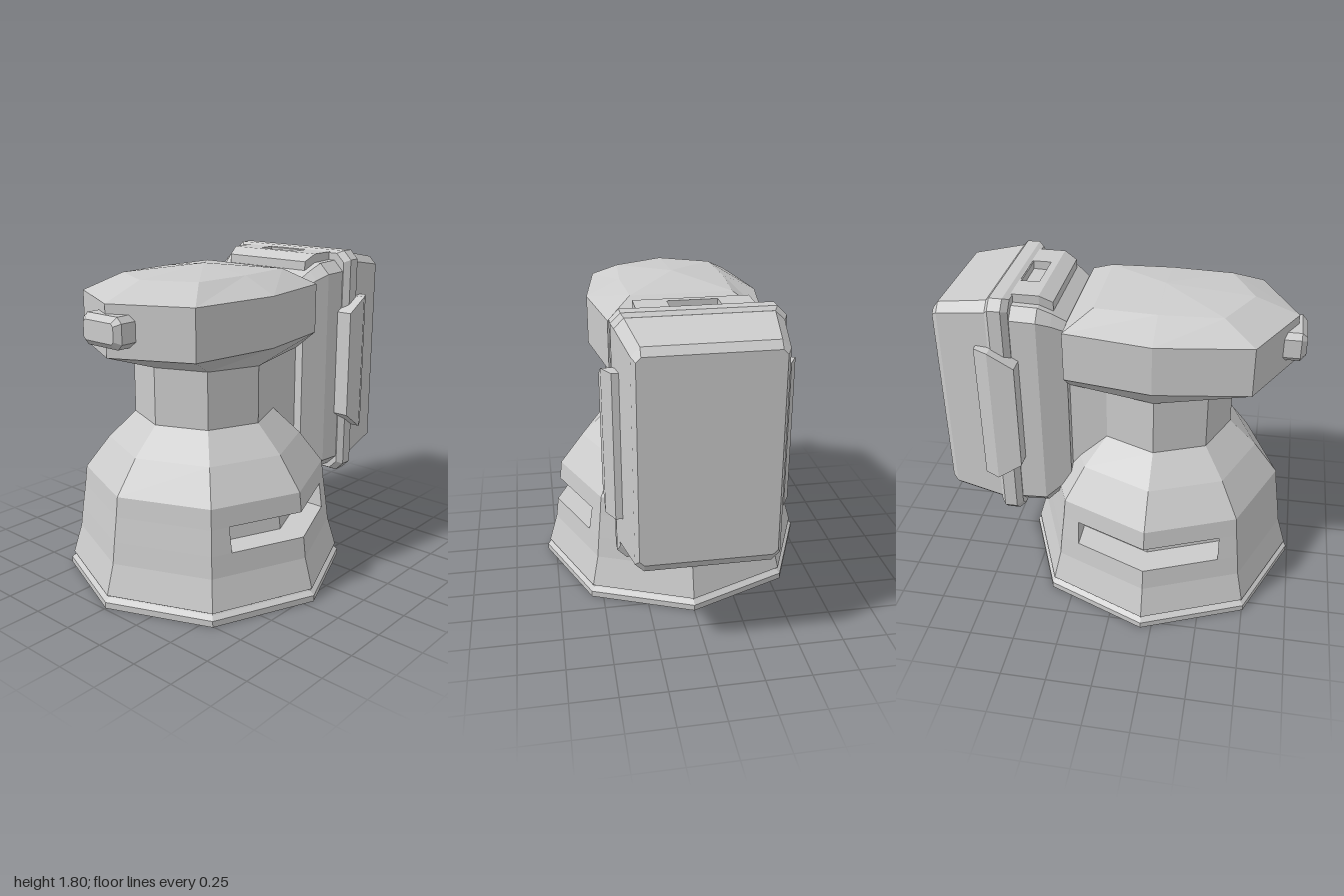
import * as THREE from 'three';

const material = new THREE.MeshStandardMaterial({ color: 0xcccccc, flatShading: true });
const CZ = 0.19; // centre of the octagonal body

// Skin between matching loops of [x, y, z], with fan caps on both ends.
function loft(loops, caps = true) {
  const pos = [];
  const n = loops[0].length;
  const tri = (a, b, c) => pos.push(...a, ...b, ...c);
  for (let k = 0; k + 1 < loops.length; k++) {
    const a = loops[k], b = loops[k + 1];
    for (let i = 0; i < n; i++) {
      const j = (i + 1) % n;
      tri(a[i], a[j], b[j]);
      tri(a[i], b[j], b[i]);
    }
  }
  if (caps) {
    const a = loops[0], b = loops[loops.length - 1];
    for (let i = 1; i + 1 < n; i++) {
      tri(a[0], a[i + 1], a[i]);
      tri(b[0], b[i], b[i + 1]);
    }
  }
  const g = new THREE.BufferGeometry();
  g.setAttribute('position', new THREE.Float32BufferAttribute(pos, 3));
  g.computeVertexNormals();
  return g;
}

// Horizontal loop from the left half outline, listed front to back as [x, z].
function ring(half, y) {
  const other = half.filter(p => p[0] > 0).reverse().map(([x, z]) => [-x, z]);
  return [...half, ...other].map(([x, z]) => [x, y, z]);
}

function octagon(r, y) {
  const d = r * Math.SQRT1_2;
  return ring([[0, CZ + r], [d, CZ + d], [r, CZ], [d, CZ - d], [0, CZ - r]], y);
}

// Octagon with a notch wrapped around each side corner.
function notched(r, y) {
  const d = r * Math.SQRT1_2, e = 0.4, depth = 0.16;
  const out = r - e * Math.tan(Math.PI / 8), inn = out - depth;
  return ring([[0, CZ + r], [d, CZ + d], [out, CZ + e], [inn, CZ + e], [r - depth, CZ],
    [inn, CZ - e], [out, CZ - e], [d, CZ - d], [0, CZ - r]], y);
}

// Upright rectangle with cut corners at depth z.
function panel(z, x0, x1, y0, y1, c) {
  return [[x1, y0 + c], [x1, y1 - c], [x1 - c, y1], [x0 + c, y1],
    [x0, y1 - c], [x0, y0 + c], [x0 + c, y0], [x1 - c, y0]].map(([x, y]) => [x, y, z]);
}

export function createModel() {
  const model = new THREE.Group();
  const add = (name, geometry, parent = model) => {
    const mesh = new THREE.Mesh(geometry, material);
    mesh.name = name;
    parent.add(mesh);
    return mesh;
  };
  const octagons = rows => loft(rows.map(([r, y]) => octagon(r, y)));

  // Base plate and bell-shaped body
  add('basePlate', octagons([[0.8, 0], [0.8, 0.035], [0.775, 0.055], [0.76, 0.075]]));
  add('lowerBody', octagons([[0.76, 0.055], [0.785, 0.07], [0.735, 0.24], [0.72, 0.36]]));
  add('slottedBody', loft([notched(0.72, 0.36), notched(0.7, 0.5)], false));
  add('upperBody', octagons([[0.7, 0.5], [0.687, 0.61], [0.55, 0.79], [0.395, 0.94], [0.395, 1.27]]));

  // Bridge from the neck to the pack
  const bridge = add('neckBridge', new THREE.BoxGeometry(0.56, 0.7, 0.24));
  bridge.position.set(0, 0.95, -0.2);

  // Faceted head with a shallow domed roof
  add('head', loft([
    ring([[0, 0.585], [0.28, 0.47], [0.395, CZ], [0.28, -0.29]], 1.26),
    ring([[0, 0.91], [0.415, 0.7], [0.49, CZ], [0.415, -0.29]], 1.37),
    ring([[0, 0.91], [0.415, 0.7], [0.49, CZ], [0.415, -0.29]], 1.645),
    ring([[0, 0.67], [0.28, 0.53], [0.3, CZ], [0.28, -0.15]], 1.735),
    ring([[0, CZ + 0.004], [0.003, CZ + 0.003], [0.004, CZ], [0.003, CZ - 0.003]], 1.775),
  ]));
  add('frontLamp', loft([
    panel(0.8, -0.14, 0.14, 1.43, 1.595, 0.03),
    panel(0.93, -0.14, 0.14, 1.43, 1.595, 0.03),
    panel(0.96, -0.11, 0.11, 1.46, 1.565, 0.015),
  ]));

  // Pack on the back: rear shell, raised rim and front shell, built back to front
  const pack = new THREE.Group();
  pack.name = 'backPack';
  model.add(pack);
  const shell = rows => loft(rows.map(([z, w, y0, y1, c]) => panel(z, -w, w, y0, y1, c)));
  add('rearShell', shell([
    [-1, 0.355, 0.59, 1.69, 0.025],
    [-0.97, 0.375, 0.54, 1.73, 0.045],
    [-0.66, 0.425, 0.495, 1.785, 0.05],
  ]), pack);
  add('rim', shell([
    [-0.69, 0.42, 0.475, 1.78, 0.05],
    [-0.67, 0.435, 0.44, 1.8, 0.05],
    [-0.6, 0.435, 0.44, 1.8, 0.05],
    [-0.57, 0.405, 0.455, 1.785, 0.05],
  ]), pack);
  add('frontShell', shell([
    [-0.6, 0.4, 0.48, 1.745, 0.06],
    [-0.43, 0.4, 0.49, 1.74, 0.06],
    [-0.36, 0.365, 0.555, 1.7, 0.05],
    [-0.29, 0.33, 0.62, 1.65, 0.04],
  ]), pack);

  // Raised top block with a rectangular recess and a sloped nose
  const rect = (Path, w, z0, z1) => new Path(
    [[-w, -z1], [w, -z1], [w, -z0], [-w, -z0]].map(p => new THREE.Vector2(...p)));
  const top = rect(THREE.Shape, 0.3, -0.6, -0.43);
  top.holes.push(rect(THREE.Path, 0.13, -0.575, -0.47));
  const block = new THREE.ExtrudeGeometry(top, { depth: 0.09, bevelEnabled: false });
  add('topBlock', block.rotateX(-Math.PI / 2).translate(0, 1.7, 0), pack);
  add('topBlockNose', loft([
    panel(-0.43, -0.3, 0.3, 1.69, 1.79, 0),
    panel(-0.36, -0.28, 0.28, 1.69, 1.75, 0),
  ]), pack);

  // Side plates, bevelled toward the rear and tapered toward the front
  for (const s of [-1, 1]) {
    const side = (z, x, y0, y1) => panel(z, Math.min(s * 0.36, s * x), Math.max(s * 0.36, s * x), y0, y1, 0);
    add(s > 0 ? 'leftSidePlate' : 'rightSidePlate', loft([
      side(-0.76, 0.445, 0.73, 1.53),
      side(-0.675, 0.49, 0.73, 1.53),
      side(-0.535, 0.49, 0.83, 1.45),
    ]), pack);
  }
  return model;
}
